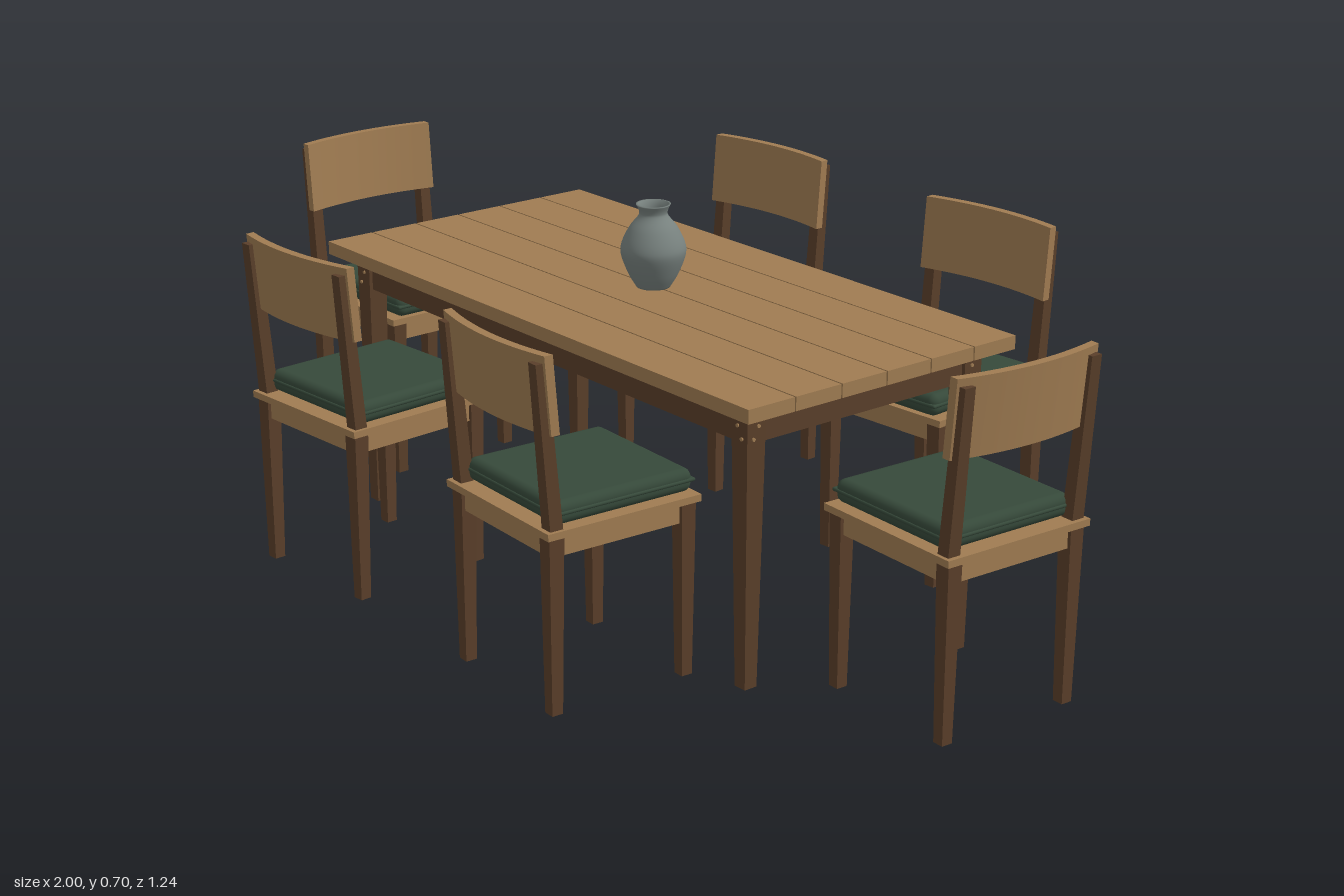
import * as THREE from 'three';
import { RoundedBoxGeometry } from 'three/addons/geometries/RoundedBoxGeometry.js';

function material(name, color) {
  const m = new THREE.MeshStandardMaterial({ color });
  m.name = name;
  return m;
}

// Moves every vertex of a geometry by a rule, then refreshes the normals
function reshape(geometry, rule) {
  const p = geometry.attributes.position;
  const v = new THREE.Vector3();
  for (let i = 0; i < p.count; i++) {
    v.fromBufferAttribute(p, i);
    rule(v);
    p.setXYZ(i, v.x, v.y, v.z);
  }
  geometry.computeVertexNormals();
  return geometry;
}

// Square leg standing on y = 0 that narrows towards the floor
function taperedLeg(top, bottom, height) {
  return reshape(new THREE.BoxGeometry(1, height, 1), (v) => {
    const w = v.y > 0 ? top : bottom;
    v.set(v.x * w, v.y + height / 2, v.z * w);
  });
}

function add(group, name, geometry, mat, x = 0, y = 0, z = 0) {
  const mesh = new THREE.Mesh(geometry, mat);
  mesh.name = name;
  mesh.position.set(x, y, z);
  group.add(mesh);
  return mesh;
}

const box = (w, h, d) => new THREE.BoxGeometry(w, h, d);

function createTable(oak, walnut) {
  const table = new THREE.Group();
  table.name = 'table';

  // Six planks with narrow gaps
  for (let i = 0; i < 6; i++) {
    add(table, 'tablePlank', box(1.28, 0.026, 0.1025), oak, 0, 0.53, (i - 2.5) * 0.1055);
  }

  // Aprons between the legs
  for (const s of [-1, 1]) {
    add(table, 'longApron', box(1.11, 0.062, 0.02), walnut, 0, 0.486, s * 0.26);
    add(table, 'shortApron', box(0.02, 0.062, 0.475), walnut, s * 0.577, 0.486, 0);
  }

  // Tapered legs with two pegs on each outer face
  const leg = taperedLeg(0.042, 0.027, 0.517);
  const peg = new THREE.CylinderGeometry(0.0035, 0.0035, 0.006, 10);
  for (const sx of [-1, 1]) {
    for (const sz of [-1, 1]) {
      add(table, 'tableLeg', leg, walnut, sx * 0.574, 0, sz * 0.257);
      for (const [off, y] of [[-0.004, 0.488], [0.007, 0.466]]) {
        add(table, 'peg', peg, oak, sx * (0.574 + off), y, sz * 0.277).rotation.x = Math.PI / 2;
        add(table, 'peg', peg, oak, sx * 0.594, y, sz * (0.257 + off)).rotation.z = Math.PI / 2;
      }
    }
  }
  return table;
}

// Chair facing +z, centred on its seat
function createChair(oak, walnut, green) {
  const chair = new THREE.Group();
  chair.name = 'chair';
  const lean = 0.085;

  add(chair, 'seatBoard', box(0.318, 0.013, 0.318), oak, 0, 0.334, 0);

  // Seat rails
  for (const s of [-1, 1]) {
    add(chair, 'seatRail', box(0.25, 0.038, 0.016), oak, 0, 0.309, s * 0.137);
    add(chair, 'seatRail', box(0.016, 0.038, 0.25), oak, s * 0.137, 0.309, 0);
  }

  // Legs, corner braces and leaning back posts
  const leg = taperedLeg(0.03, 0.022, 0.328);
  const post = reshape(taperedLeg(0.022, 0.026, 0.298), (v) => { v.z -= v.y * lean; });
  for (const sx of [-1, 1]) {
    for (const sz of [-1, 1]) {
      add(chair, 'chairLeg', leg, walnut, sx * 0.137, 0, sz * 0.137);
      const brace = add(chair, 'cornerBrace', box(0.06, 0.025, 0.012), oak, sx * 0.112, 0.315, sz * 0.112);
      brace.rotation.y = sx * sz * Math.PI / 4;
    }
    add(chair, 'backPost', post, walnut, sx * 0.139, 0.34, -0.137);
  }

  // Backrest bowed away from the sitter
  const panel = reshape(new THREE.BoxGeometry(0.31, 0.142, 0.017, 16, 1, 1), (v) => {
    v.z -= 0.02 * (1 - (v.x / 0.155) ** 2) + v.y * lean;
  });
  add(chair, 'backrest', panel, oak, 0, 0.581, -0.145);

  // Cushion with a raised seam
  add(chair, 'cushion', new RoundedBoxGeometry(0.282, 0.043, 0.288, 4, 0.016), green, 0, 0.3615, 0.012);
  add(chair, 'cushionSeam', new RoundedBoxGeometry(0.287, 0.007, 0.293, 2, 0.0034), green, 0, 0.363, 0.012);
  return chair;
}

function createVase(glaze) {
  const profile = new THREE.SplineCurve([
    [0.032, 0], [0.047, 0.025], [0.061, 0.062], [0.06, 0.085],
    [0.046, 0.115], [0.029, 0.137], [0.027, 0.147], [0.033, 0.161],
  ].map(([r, y]) => new THREE.Vector2(r, y))).getPoints(32);
  // Lip and inside wall
  const inside = [[0.029, 0.161], [0.023, 0.147], [0.026, 0.133], [0.05, 0.09], [0.045, 0.03], [0, 0.008]]
    .map(([r, y]) => new THREE.Vector2(r, y));
  const points = [new THREE.Vector2(0, 0), ...profile, ...inside];
  const vase = new THREE.Mesh(new THREE.LatheGeometry(points, 40), glaze);
  vase.name = 'vase';
  vase.position.y = 0.543;
  return vase;
}

export function createModel() {
  const oak = material('oak', 0xa07c52);
  const walnut = material('walnut', 0x5a3f2a);
  const green = material('green fabric', 0x36493a);
  const glaze = material('grey glaze', 0x78827f);

  const model = new THREE.Group();
  model.name = 'diningSet';
  model.add(createTable(oak, walnut), createVase(glaze));

  // Chairs: x, z, heading in degrees
  const places = [
    [-0.325, -0.437, 4], [0.314, -0.437, 4],
    [-0.316, 0.437, 184], [0.32, 0.437, 177],
    [0.817, 0, -93], [-0.819, 0, 91],
  ];
  const chair = createChair(oak, walnut, green);
  for (const [x, z, heading] of places) {
    const copy = chair.clone();
    copy.position.set(x, 0, z);
    copy.rotation.y = THREE.MathUtils.degToRad(heading);
    model.add(copy);
  }
  return model;
}
